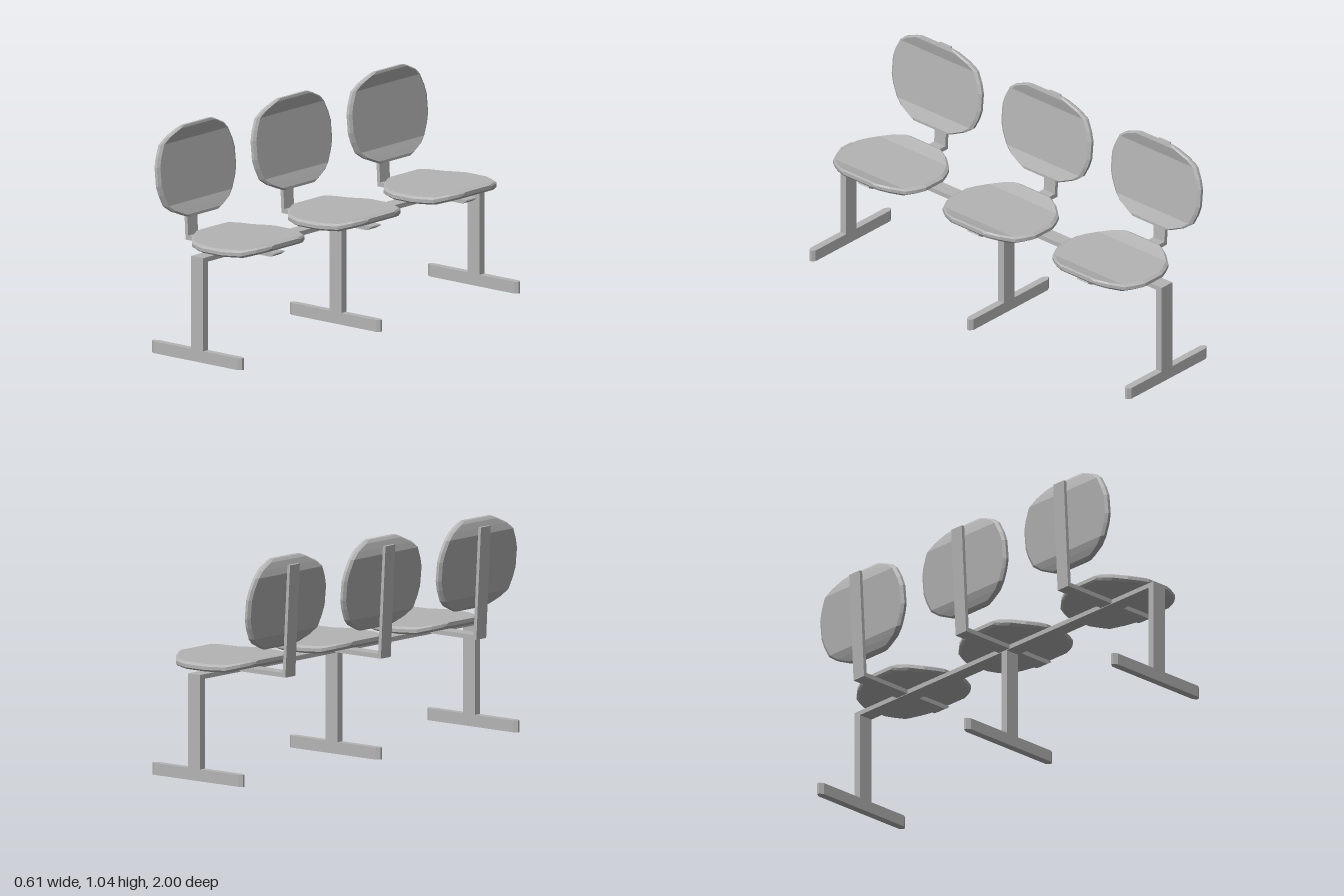
import * as THREE from 'three';

const grey = new THREE.MeshStandardMaterial({ color: 0xb4b4b4 });

function add(parent, name, geometry, x = 0, y = 0, z = 0) {
  const mesh = new THREE.Mesh(geometry, grey);
  mesh.name = name;
  mesh.position.set(x, y, z);
  parent.add(mesh);
  return mesh;
}

// Shape from points, extruded and centred on its depth
function slab(points, depth) {
  const shape = new THREE.Shape(points.map(([x, y]) => new THREE.Vector2(x, y)));
  return new THREE.ExtrudeGeometry(shape, { depth, bevelEnabled: false }).translate(0, 0, -depth / 2);
}

// Cushion lofted along x; half stations: [distance, half width, lift, half thickness]
function cushion(half) {
  const mirrored = half.map(([u, ...rest]) => [-u, ...rest]).reverse();
  const rings = [...mirrored, ...half].map(([u, w, lift, h]) => {
    const b = w - 0.015, e = h * 0.45;
    return [[h, -b], [h, b], [e, w], [-e, w], [-h, b], [-h, -b], [-e, -w], [e, -w]]
      .map(([y, z]) => [u, y + lift, z]);
  });
  const pos = [];
  const tri = (a, b, c) => pos.push(...a, ...b, ...c);
  for (let i = 0; i < rings.length - 1; i++) {
    for (let j = 0; j < 8; j++) {
      const k = (j + 1) % 8, p = rings[i], q = rings[i + 1];
      tri(p[j], p[k], q[k]);
      tri(p[j], q[k], q[j]);
    }
  }
  const first = rings[0], last = rings[rings.length - 1];
  for (let j = 1; j < 7; j++) {
    tri(last[0], last[j], last[j + 1]);
    tri(first[0], first[j + 1], first[j]);
  }
  const geo = new THREE.BufferGeometry();
  geo.setAttribute('position', new THREE.Float32BufferAttribute(pos, 3));
  geo.computeVertexNormals();
  return geo;
}

export function createModel() {
  const model = new THREE.Group();
  model.name = 'benchSeating';

  // Long beam under the seats
  add(model, 'beam', new THREE.BoxGeometry(0.073, 0.022, 1.99), 0.0365, 0.488, 0);

  // Three legs on feet with tapered tips
  const t = 0.018, n = 0.006;
  const footGeo = slab([
    [-0.25, -n], [-0.23, -t], [0.283, -t], [0.3, -n],
    [0.3, n], [0.283, t], [-0.23, t], [-0.25, n],
  ], 0.056).rotateX(Math.PI / 2);
  for (const z of [-0.982, 0, 0.982]) {
    add(model, 'leg', new THREE.BoxGeometry(0.073, 0.499, 2 * t), 0.0365, 0.2495, z);
    add(model, 'foot', footGeo, 0, 0.028, z);
  }

  // L-shaped bracket: arm below the seat and leaning back post
  const bracketGeo = slab([
    [-0.277, 0.48], [0.24, 0.48], [0.267, 0.496], [0.265, 0.501],
    [-0.26, 0.501], [-0.289, 1.01], [-0.305, 1.01],
  ], 0.07);

  // Cushions with both ends curled up
  const seatGeo = cushion([
    [0.058, 0.27, 0, 0.0175], [0.1, 0.253, 0, 0.0175], [0.15, 0.226, 0, 0.0175],
    [0.195, 0.172, 0.012, 0.0165], [0.219, 0.125, 0.019, 0.016], [0.229, 0.1, 0.023, 0.009],
  ]);
  const backGeo = cushion([
    [0.045, 0.277, 0, 0.016], [0.09, 0.264, 0, 0.016], [0.145, 0.238, 0, 0.016],
    [0.175, 0.2, 0.01, 0.016], [0.203, 0.137, 0.02, 0.015], [0.215, 0.107, 0.025, 0.009],
  ]);

  for (const z of [-0.682, 0, 0.682]) {
    const chair = new THREE.Group();
    chair.name = 'chair';
    chair.position.z = z;
    add(chair, 'bracket', bracketGeo);
    add(chair, 'seat', seatGeo, 0.075, 0.5225, 0);
    add(chair, 'backrest', backGeo, -0.247, 0.826, 0).rotation.z = -Math.PI / 2 + 0.096;
    model.add(chair);
  }
  return model;
}
